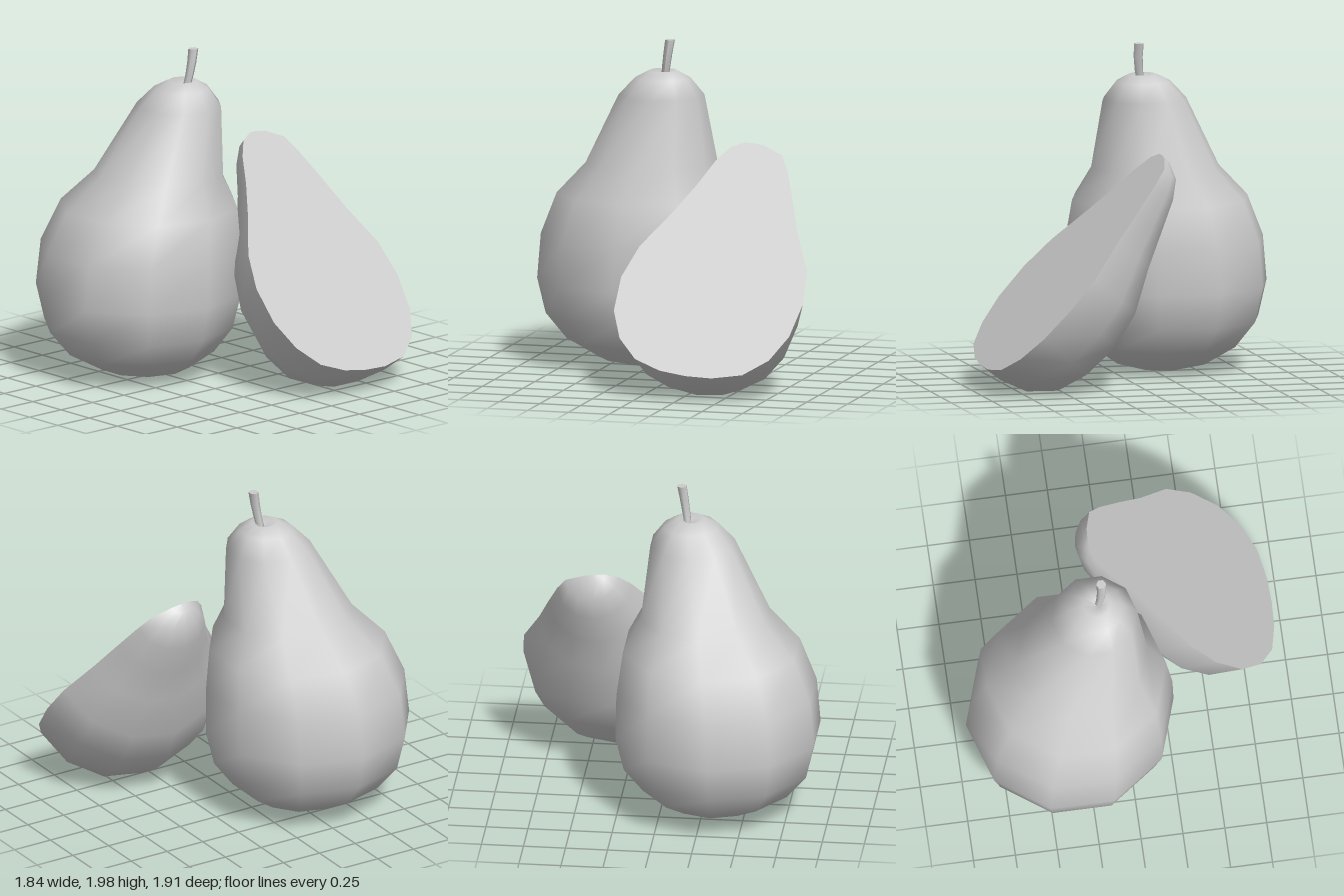
import * as THREE from 'three';

const skin = new THREE.MeshStandardMaterial({ color: 0xcccccc });
skin.name = 'pale grey';

// Skin a stack of point rings, listed from bottom to top
function loft(rings, closed) {
  const n = rings[0].length;
  const index = [];
  for (let i = 0; i < rings.length - 1; i++) {
    for (let j = 0; j < (closed ? n : n - 1); j++) {
      const k = (j + 1) % n;
      const a = i * n + j, b = i * n + k, c = a + n, d = b + n;
      index.push(a, b, d, a, d, c);
    }
  }
  const geometry = new THREE.BufferGeometry();
  geometry.setAttribute('position', new THREE.Float32BufferAttribute(rings.flat(2), 3));
  geometry.setIndex(index);
  geometry.computeVertexNormals();
  return geometry;
}

function addMesh(parent, name, geometry) {
  const mesh = new THREE.Mesh(geometry, skin);
  mesh.name = name;
  parent.add(mesh);
  return mesh;
}

// Whole pear: ten-sided rings whose centres lean towards +x and +z
function wholePear() {
  const pear = new THREE.Group();
  pear.name = 'wholePear';
  const profile = [ // height, radius, centre on both x and z
    [0.05, 0, -0.3], [0.03, 0.14, -0.3], [0.06, 0.27, -0.31], [0.17, 0.45, -0.33],
    [0.32, 0.57, -0.335], [0.53, 0.62, -0.335], [0.8, 0.605, -0.325], [1.05, 0.535, -0.29],
    [1.24, 0.39, -0.25], [1.66, 0.255, -0.165], [1.765, 0.165, -0.155],
    [1.81, 0.08, -0.15], [1.77, 0, -0.14],
  ];
  const sides = 10;
  const rings = profile.map(([y, r, c]) => Array.from({ length: sides }, (_, j) => {
    const a = (j / sides) * Math.PI * 2;
    return [c + r * Math.sin(a), y, c + r * Math.cos(a)];
  }));
  addMesh(pear, 'pearBody', loft(rings, true));

  // Short bent stem
  const stem = new THREE.CylinderGeometry(0.03, 0.023, 0.24, 6, 3);
  const p = stem.attributes.position;
  for (let i = 0; i < p.count; i++) {
    const t = p.getY(i) / 0.24 + 0.5;
    p.setXYZ(i, p.getX(i) - 0.135 + 0.038 * t, 1.76 + 0.24 * t, p.getZ(i) - 0.135 + 0.035 * t * (1.6 - t));
  }
  stem.computeVertexNormals();
  addMesh(pear, 'stem', stem);
  return pear;
}

// Half pear: rings behind a sloping flat cut, from base to tip
function halfPear() {
  const pear = new THREE.Group();
  pear.name = 'halfPear';
  const cutNormal = new THREE.Vector3(0.1, 1, 1.14).normalize();
  const onCut = (x, z) => new THREE.Vector3(x, 1.3 - 0.1 * x - 1.14 * z, z);
  const profile = [ // z on the cut, edge towards -x, edge towards +x, depth
    [0.96, 0.31, 0.31, 0], [0.953, 0.15, 0.47, 0.15], [0.918, -0.01, 0.65, 0.31],
    [0.835, -0.13, 0.79, 0.45], [0.715, -0.2, 0.88, 0.515], [0.56, -0.2, 0.92, 0.535],
    [0.41, -0.13, 0.9, 0.49], [0.24, 0.02, 0.79, 0.37], [0.1, 0.13, 0.72, 0.285],
    [-0.02, 0.21, 0.655, 0.215], [-0.09, 0.28, 0.6, 0.145], [-0.122, 0.36, 0.48, 0.06],
    [-0.125, 0.42, 0.42, 0],
  ];
  const steps = 6;
  const rings = profile.map(([z, left, right, depth]) => Array.from({ length: steps + 1 }, (_, j) => {
    const a = (j / steps) * Math.PI;
    const x = (left + right) / 2 + ((right - left) / 2) * Math.cos(a);
    return onCut(x, z).addScaledVector(cutNormal, -depth * Math.sin(a)).toArray();
  }));
  addMesh(pear, 'halfBody', loft(rings, false));

  // Flat cut face
  const strips = profile.map(([z, left, right]) => [onCut(left, z).toArray(), onCut(right, z).toArray()]);
  addMesh(pear, 'cutFace', loft(strips, false));
  return pear;
}

export function createModel() {
  const model = new THREE.Group();
  model.name = 'pears';
  model.add(wholePear(), halfPear());
  return model;
}
